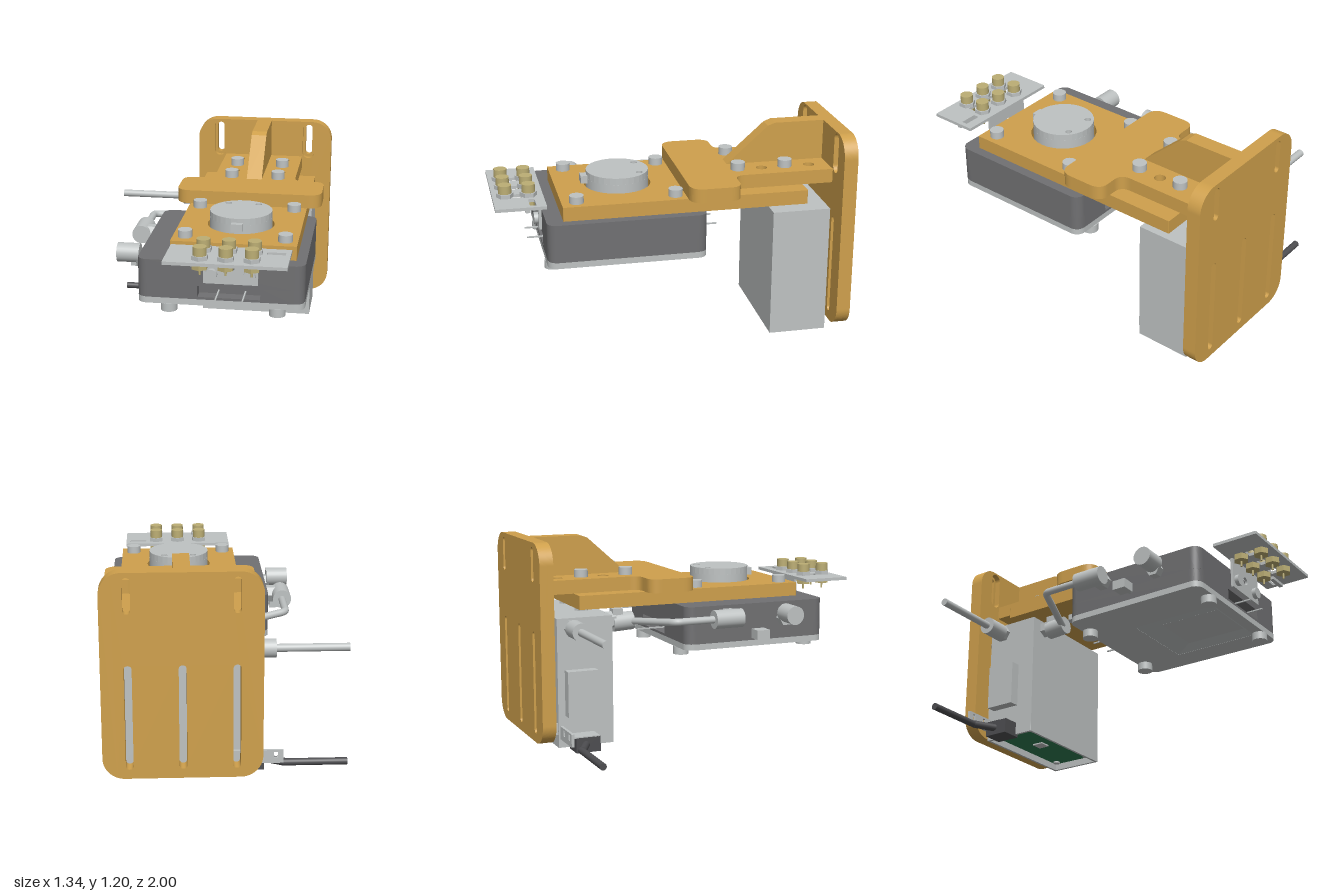
import * as THREE from 'three';

const mat = (name, color) => Object.assign(new THREE.MeshStandardMaterial({ color }), { name });

export function createModel() {
  const root = new THREE.Group();
  root.name = 'bracketAssembly';
  const gold = mat('gold', 0xcfa04c), grey = mat('light grey', 0xbec2c2), dark = mat('dark grey', 0x707072);
  const black = mat('cable black', 0x4e4e51), brass = mat('brass', 0xbcae74), green = mat('board green', 0x2f7a50);
  const CX = 0.2375;                       // symmetry line of the bracket
  const mx = x => 2 * CX - x;

  const add = (name, geo, m, x = 0, y = 0, z = 0) => {
    const mesh = new THREE.Mesh(geo, m);
    mesh.name = name;
    mesh.position.set(x, y, z);
    root.add(mesh);
    return mesh;
  };
  // box from its limits
  const box = (name, m, x0, x1, y0, y1, z0, z1) =>
    add(name, new THREE.BoxGeometry(x1 - x0, y1 - y0, z1 - z0), m, (x0 + x1) / 2, (y0 + y1) / 2, (z0 + z1) / 2);
  // cylinder between two points
  const rod = (name, m, a, b, r, sides = 28) => {
    const p = new THREE.Vector3(...a), q = new THREE.Vector3(...b), d = q.clone().sub(p);
    const mesh = add(name, new THREE.CylinderGeometry(r, r, d.length(), sides), m);
    mesh.position.copy(p.add(q).multiplyScalar(0.5));
    mesh.quaternion.setFromUnitVectors(new THREE.Vector3(0, 1, 0), d.normalize());
    if (sides === 6) mesh.geometry = mesh.geometry.toNonIndexed(), mesh.geometry.computeVertexNormals();
    return mesh;
  };
  const post = (name, m, x, z, y0, y1, r, sides) => rod(name, m, [x, y0, z], [x, y1, z], r, sides);
  // rounded rectangle outline
  const rrect = (x0, x1, y0, y1, r, S = THREE.Shape) => {
    const s = new S();
    s.moveTo(x0 + r, y0);
    s.lineTo(x1 - r, y0); s.absarc(x1 - r, y0 + r, r, -Math.PI / 2, 0);
    s.lineTo(x1, y1 - r); s.absarc(x1 - r, y1 - r, r, 0, Math.PI / 2);
    s.lineTo(x0 + r, y1); s.absarc(x0 + r, y1 - r, r, Math.PI / 2, Math.PI);
    s.lineTo(x0, y0 + r); s.absarc(x0 + r, y0 + r, r, Math.PI, Math.PI * 1.5);
    return s;
  };
  const rectHole = (x0, x1, y0, y1) => new THREE.Path([[x0, y0], [x1, y0], [x1, y1], [x0, y1]].map(p => new THREE.Vector2(...p)));
  const roundHole = (x, y, r) => new THREE.Path().absarc(x, y, r, 0, Math.PI * 2);
  const extrude = (shape, depth) => new THREE.ExtrudeGeometry(shape, { depth, bevelEnabled: false, curveSegments: 16 });
  // horizontal slab from an x,z outline
  const slab = (name, m, shape, y0, y1) => add(name, extrude(shape, y1 - y0).rotateX(Math.PI / 2), m, 0, y1, 0);

  // slotted back plate: the front layer has wider upper slots
  for (const [w, z0, z1] of [[0.021, -1, -0.955], [0.038, -0.955, -0.92]]) {
    const s = rrect(-0.19, 0.67, 0.047, 1.195, 0.12);
    for (const x of [-0.05, 0.525]) s.holes.push(rrect(x - w, x + w, 0.993 - w, 1.147 + w, w - 0.0005, THREE.Path));
    for (const x of [-0.05, CX, 0.525]) s.holes.push(rrect(x - 0.021, x + 0.021, 0.1, 0.69, 0.0205, THREE.Path));
    add('backPlate', extrude(s, z1 - z0), gold, 0, 0, z0);
  }

  // flared shelf with bolt holes
  const shelf = new THREE.Shape();
  shelf.moveTo(-0.01, -0.92);
  shelf.lineTo(mx(-0.01), -0.92);
  shelf.lineTo(mx(-0.01), -0.41);
  shelf.quadraticCurveTo(mx(-0.01), -0.345, mx(-0.07), -0.345);
  shelf.lineTo(mx(-0.13), -0.345);
  shelf.quadraticCurveTo(mx(-0.193), -0.345, mx(-0.193), -0.27);
  shelf.lineTo(mx(-0.193), -0.14);
  shelf.quadraticCurveTo(mx(-0.193), -0.058, mx(-0.11), -0.058);
  shelf.lineTo(-0.11, -0.058);
  shelf.quadraticCurveTo(-0.193, -0.058, -0.193, -0.14);
  shelf.lineTo(-0.193, -0.27);
  shelf.quadraticCurveTo(-0.193, -0.345, -0.13, -0.345);
  shelf.lineTo(-0.07, -0.345);
  shelf.quadraticCurveTo(-0.01, -0.345, -0.01, -0.41);
  for (const x of [0.095, 0.38]) for (const z of [-0.81, -0.53]) shelf.holes.push(roundHole(x, z, 0.032));
  slab('shelf', gold, shelf, 0.885, 0.965);

  // gusset rib
  const rib = new THREE.Shape([[0.92, 0.965], [0.92, 1.195], [0.63, 1.195], [0.59, 1.18], [0.35, 0.965]].map(p => new THREE.Vector2(...p)));
  add('gusset', extrude(rib, 0.092).rotateY(Math.PI / 2), gold, 0.192, 0, 0);

  // mounting plate with the rotor opening
  const mount = rrect(-0.11, 0.585, -0.745, 0.637, 0.003);
  mount.holes.push(roundHole(CX, 0.28, 0.19));
  slab('mountingPlate', gold, mount, 0.805, 0.885);

  // rotor with two sockets in its top
  post('rotor', grey, CX, 0.28, 0.805, 0.93, 0.177, 48);
  const rotorTop = new THREE.Shape().absarc(CX, 0.28, 0.177, 0, Math.PI * 2);
  for (const x of [0.152, 0.325]) rotorTop.holes.push(roundHole(x, 0.167, 0.019));
  slab('rotorTop', grey, rotorTop, 0.93, 0.968);
  box('rotorTab', grey, 0.205, 0.27, 0.902, 0.946, 0.44, 0.492);

  // bolts
  for (const x of [-0.04, 0.515]) for (const z of [0, 0.553]) post('plateBolt', grey, x, z, 0.88, 0.927, 0.04);
  for (const x of [0.095, 0.38]) for (const z of [-0.39, -0.665]) {
    post('shelfBolt', grey, x, z, 0.96, 1.009, 0.04);
    post('shelfNut', grey, x, z, 0.77, 0.806, 0.042, 6);
  }

  // dark body: solid upper layer, lower layer split by a through slot
  slab('bodyUpper', dark, rrect(-0.28, 0.64, -0.16, 0.73, 0.055), 0.665, 0.805);
  for (const [inner, outer, s] of [[0.055, -0.28, -1], [0.4, 0.64, 1]]) {
    const half = new THREE.Shape(), r = 0.064;
    half.moveTo(inner, -0.16);
    half.lineTo(outer - s * r, -0.16); half.quadraticCurveTo(outer, -0.16, outer, -0.16 + r);
    half.lineTo(outer, 0.73 - r); half.quadraticCurveTo(outer, 0.73, outer - s * r, 0.73);
    half.lineTo(inner, 0.73);
    slab('bodyLower', dark, half, 0.587, 0.665);
  }
  box('slotFloor', dark, 0.055, 0.4, 0.587, 0.601, -0.16, 0.73);
  box('slotCore', dark, 0.055, 0.4, 0.601, 0.665, -0.09, 0.66);
  for (const x of [0.165, 0.312]) box('contactPin', grey, x - 0.004, x + 0.004, 0.615, 0.623, -0.29, 0.81);

  // base plate with a sloped recess underneath
  const base = rrect(-0.28, 0.64, -0.16, 0.73, 0.055);
  base.holes.push(rectHole(0.0, 0.48, 0.13, 0.66));
  slab('basePlate', grey, base, 0.552, 0.587);
  const ring = [[0.0, 0.13, 0.12, 0.25], [0.48, 0.13, 0.42, 0.25], [0.48, 0.66, 0.42, 0.62], [0.0, 0.66, 0.12, 0.62]];
  const pos = [], v = (x, y, z) => pos.push(x, y, z);
  ring.forEach((a, i) => {
    const b = ring[(i + 1) % 4], o = 0.553, t = 0.586;
    v(a[0], o, a[1]); v(b[0], o, b[1]); v(b[2], t, b[3]);
    v(a[0], o, a[1]); v(b[2], t, b[3]); v(a[2], t, a[3]);
  });
  const hopper = new THREE.BufferGeometry();
  hopper.setAttribute('position', new THREE.Float32BufferAttribute(pos, 3));
  hopper.computeVertexNormals();
  add('recessWalls', hopper, grey);
  box('recessFloor', grey, 0.11, 0.43, 0.583, 0.5865, 0.24, 0.63);
  for (const x of [-0.108, 0.49]) for (const z of [-0.123, 0.692]) post('foot', grey, x, z, 0.506, 0.553, 0.045);

  // front board on an angle bracket
  const board = rrect(-0.09, 0.567, 0.72, 1, 0.003);
  for (const x of [0.1, CX, 0.375]) board.holes.push(rectHole(x - 0.028, x + 0.028, 0.84, 0.89));
  board.holes.push(rectHole(0.44, 0.54, 0.775, 0.81));
  slab('frontBoard', grey, board, 0.877, 0.895);
  box('boardSocket', grey, 0.43, 0.555, 0.858, 0.878, 0.811, 0.835);
  const angle = rrect(0.09, 0.388, 0.69, 0.878, 0.002);
  angle.holes.push(roundHole(CX, 0.785, 0.024));
  add('angleBracket', extrude(angle, 0.016), grey, 0, 0, 0.732);
  for (const x of [0.135, 0.342]) rod('bracketScrew', grey, [x, 0.745, 0.74], [x, 0.745, 0.772], 0.033);
  for (const x of [0.1, CX, 0.375]) for (const z of [0.8, 0.93]) {
    post('connectorNut', grey, x, z, 0.894, 0.918, 0.048, 6);
    post('connectorCap', brass, x, z, 0.916, 0.965, 0.037);
    post('connectorLowerNut', brass, x, z, 0.842, 0.878, 0.045, 6);
    post('connectorPin', brass, x, z, 0.808, 0.845, 0.006, 10);
  }

  // side fittings on the body
  rod('sideHex', grey, [-0.33, 0.71, 0.46], [-0.27, 0.71, 0.46], 0.045, 6);
  rod('sideNozzle', grey, [-0.44, 0.742, 0.46], [-0.312, 0.742, 0.46], 0.055);
  box('sensorBlock', grey, -0.398, -0.317, 0.608, 0.663, 0.235, 0.315);
  rod('sensorStem', grey, [-0.33, 0.635, 0.275], [-0.27, 0.635, 0.275], 0.014);
  rod('elbowHex', grey, [-0.35, 0.742, 0.095], [-0.27, 0.742, 0.095], 0.05, 6);
  rod('elbow', grey, [-0.37, 0.742, -0.03], [-0.37, 0.742, 0.145], 0.054);

  // bent hose to the rear housing
  const path = new THREE.CurvePath();
  const P = (x, y, z) => new THREE.Vector3(x, y, z);
  path.add(new THREE.LineCurve3(P(-0.37, 0.742, 0), P(-0.37, 0.742, -0.235)));
  path.add(new THREE.QuadraticBezierCurve3(P(-0.37, 0.742, -0.235), P(-0.37, 0.742, -0.265), P(-0.34, 0.738, -0.277)));
  path.add(new THREE.LineCurve3(P(-0.34, 0.738, -0.277), P(0, 0.703, -0.41)));
  add('hose', new THREE.TubeGeometry(path, 60, 0.021, 16), grey);
  rod('hoseFitting', grey, [0, 0.707, -0.388], [0, 0.7, -0.512], 0.054);
  rod('hoseHex', grey, [0, 0.715, -0.5], [0, 0.715, -0.56], 0.052, 6);
  box('hoseTopBlock', grey, -0.03, 0.03, 0.745, 0.783, -0.515, -0.455);

  // rear housing: block with an open tray below it holding the circuit board
  const HX = [-0.11, 0.582], HZ = [-0.882, -0.55];
  box('rearHousing', grey, ...HX, 0.075, 0.763, ...HZ);
  const rim = rrect(...HX, ...HZ, 0.002);
  rim.holes.push(rectHole(HX[0] + 0.015, HX[1] - 0.015, HZ[0] + 0.015, HZ[1] - 0.015));
  slab('housingRim', grey, rim, 0.015, 0.075);
  slab('circuitBoard', green, rrect(-0.08, 0.56, -0.862, -0.57, 0.03), 0.052, 0.06);
  box('boardChip', grey, 0.17, 0.24, 0.044, 0.053, -0.75, -0.68);
  for (const x of [-0.045, 0.525]) for (const z of [-0.83, -0.602]) post('boardScrew', grey, x, z, 0.042, 0.053, 0.02);
  box('sidePanel', grey, -0.17, -0.11, 0.2, 0.465, -0.84, -0.66);
  box('rearTab', grey, -0.1, 0.0, 0.09, 0.155, -0.902, -0.88);

  // air line
  rod('airFitting', grey, [-0.27, 0.705, -0.79], [-0.14, 0.705, -0.79], 0.052);
  rod('airHex', grey, [-0.15, 0.705, -0.79], [-0.1, 0.705, -0.79], 0.052, 6);
  rod('airTube', grey, [-0.67, 0.705, -0.79], [-0.25, 0.705, -0.79], 0.022);

  // data cable with plug and perforated bracket
  box('plug', black, -0.21, -0.088, 0, 0.088, -0.81, -0.665);
  rod('cable', black, [-0.67, 0.045, -0.815], [-0.31, 0.045, -0.815], 0.02);
  rod('cableSleeve', black, [-0.32, 0.045, -0.812], [-0.2, 0.045, -0.75], 0.022);
  const clip = rrect(-0.312, -0.1, 0.066, 0.142, 0.002);
  for (const x of [-0.27, -0.178]) clip.holes.push(rectHole(x - 0.011, x + 0.011, 0.097, 0.131));
  add('cableBracket', extrude(clip, 0.016), grey, 0, 0, -0.872);
  box('plugClip', grey, -0.21, -0.1, 0.086, 0.094, -0.86, -0.67);

  return root;
}
